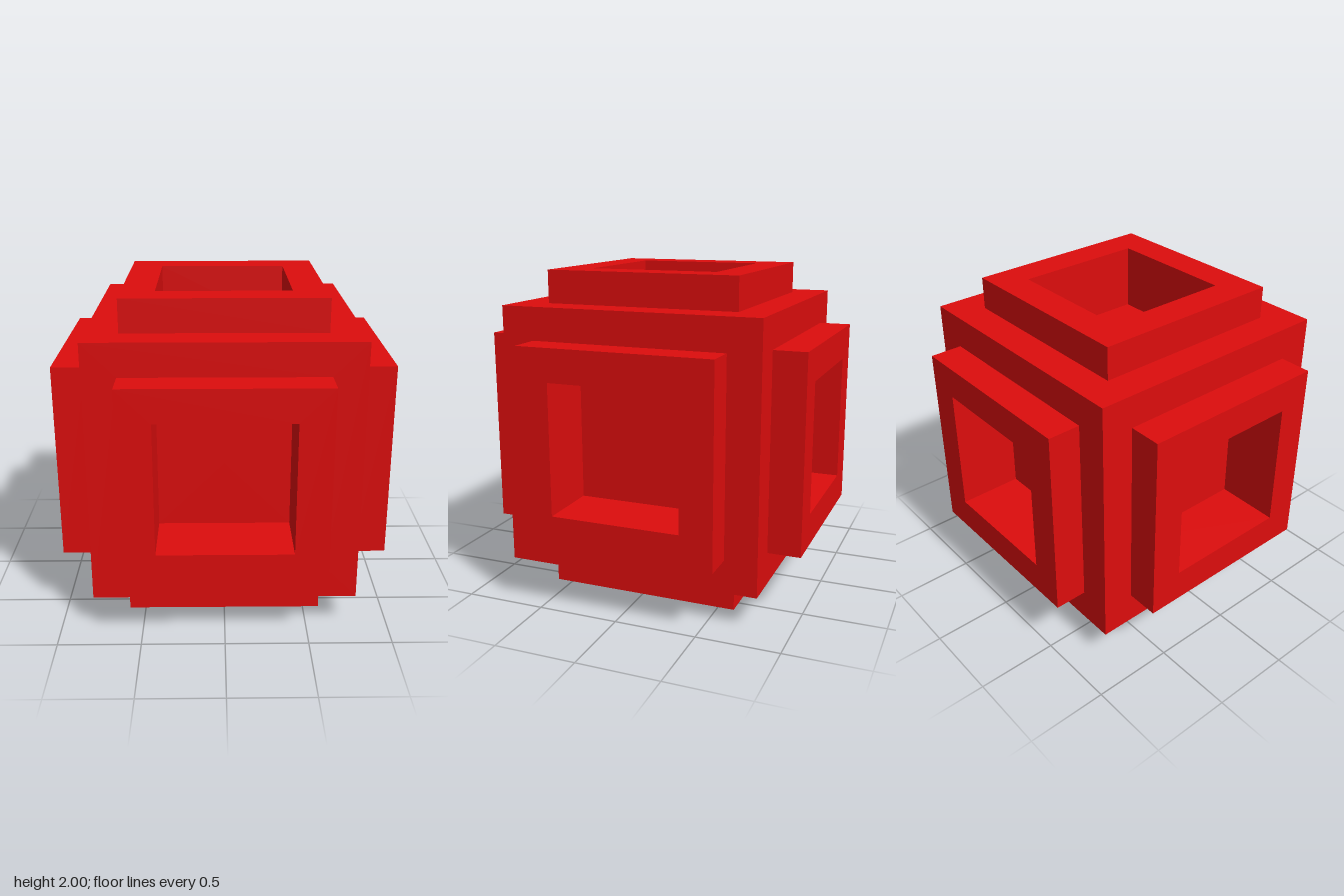
import * as THREE from 'three';

const CORE = 0.8;   // half width of the cube
const FRAME = 0.6;  // half width of a raised frame
const HOLE = 0.4;   // half width of a recess
const RIM = 1.0;    // height of a frame's rim above the centre
const FLOOR = 0.6;  // height of a recess floor above the centre

// One cube side: a four-sided lathe from the cube's edge over the frame to the recess floor
function sideGeometry() {
  const profile = [
    [CORE, CORE], [FRAME, CORE], [FRAME, RIM],
    [HOLE, RIM], [HOLE, FLOOR], [0, FLOOR],
  ].map(([half, y]) => new THREE.Vector2(half * Math.SQRT2, y));
  const geometry = new THREE.LatheGeometry(profile, 4).rotateY(Math.PI / 4).toNonIndexed();
  geometry.computeVertexNormals();
  return geometry;
}

export function createModel() {
  const model = new THREE.Group();
  model.name = 'framedCube';
  const red = new THREE.MeshStandardMaterial({ color: 0xdd0d0d, flatShading: true });
  const geometry = sideGeometry();
  const q = Math.PI / 2;

  // Six identical sides close the cube
  const sides = [
    ['topSide', 0, 0], ['bottomSide', 2 * q, 0],
    ['frontSide', q, 0], ['backSide', -q, 0],
    ['leftSide', 0, -q], ['rightSide', 0, q],
  ];
  for (const [name, rx, rz] of sides) {
    const side = new THREE.Mesh(geometry, red);
    side.name = name;
    side.rotation.set(rx, 0, rz);
    side.position.y = RIM;
    model.add(side);
  }
  return model;
}
